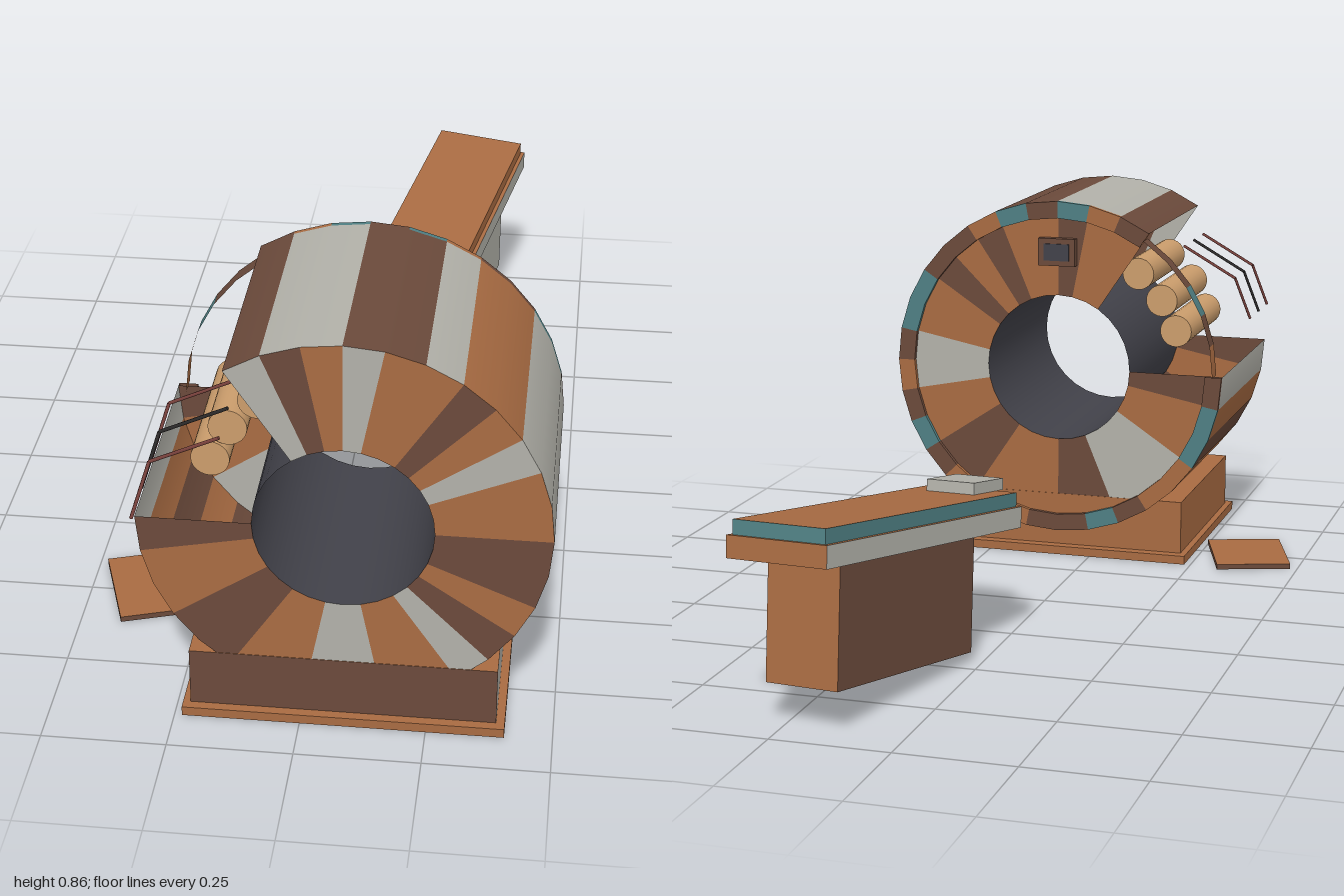
import * as THREE from 'three';

const mat = (name, color) => {
  const m = new THREE.MeshStandardMaterial({ color, side: THREE.DoubleSide });
  m.name = name;
  return m;
};

export function createModel() {
  const M = {
    O: mat('rust orange', 0xa86b42),
    D: mat('dark brown', 0x6b4a3b),
    G: mat('pale grey', 0xb2b1a9),
    T: mat('teal', 0x4f7f83),
    C: mat('charcoal', 0x42424a),
    W: mat('coil tan', 0xcb9d6c),
    R: mat('dark red', 0x7a423d),
    K: mat('black', 0x2c2a2a),
  };
  const model = new THREE.Group();

  // box whose faces are coloured in the order +x -x +y -y +z -z
  const box = (parent, name, size, pos, cols) => {
    const m = cols.length === 1 ? M[cols] : [...cols].map((c) => M[c]);
    const mesh = new THREE.Mesh(new THREE.BoxGeometry(...size), m);
    mesh.name = name;
    mesh.position.set(...pos);
    parent.add(mesh);
    return mesh;
  };

  // scanner drum: 32 steps round, five of them left open on one side
  const scanner = new THREE.Group();
  scanner.name = 'scanner';
  scanner.position.set(0.085, 0.455, 0);
  model.add(scanner);
  const STEP = Math.PI / 16, START = 11 * STEP;
  const FRONT = 0.885, BACK = 0.397, OUT = 0.4, BORE = 0.175;

  // patchwork surface from (r0,z0) to (r1,z1), one colour letter per step
  const patchRing = (name, cols, r0, z0, r1, z1, first = 0, inward = 1) => {
    const group = new THREE.Group();
    group.name = name;
    for (const key of new Set(cols)) {
      const pos = [], nor = [];
      [...cols].forEach((c, i) => {
        if (c !== key) return;
        const a = START - (first + i) * STEP, b = a - STEP;
        const quad = [[a, r0, z0], [b, r0, z0], [b, r1, z1], [a, r1, z1]];
        for (const k of [0, 1, 2, 0, 2, 3]) {
          const [t, r, z] = quad[k];
          pos.push(r * Math.cos(t), r * Math.sin(t), z);
          if (z0 === z1) nor.push(0, 0, r1 > r0 ? 1 : -1);
          else nor.push(inward * Math.cos(t), inward * Math.sin(t), 0);
        }
      });
      const g = new THREE.BufferGeometry();
      g.setAttribute('position', new THREE.Float32BufferAttribute(pos, 3));
      g.setAttribute('normal', new THREE.Float32BufferAttribute(nor, 3));
      const mesh = new THREE.Mesh(g, M[key]);
      mesh.name = name + ' ' + M[key].name;
      group.add(mesh);
    }
    scanner.add(group);
  };
  patchRing('front cover', 'GDOGOODOGOODDODGOOGGOODDOOD', BORE, FRONT, OUT, FRONT);
  patchRing('outer shell', 'DGGDDGOOGGGODODOOOOOOODODOG', OUT, FRONT, OUT, BACK);
  patchRing('back cover', 'OODOODODOOGGOODDOOODDGGGOOD', OUT, BACK, BORE, BACK);

  // back rim, with its loose stretch bridging the opening
  const rim = 'DOTDTODDTTDODTDODODDTDOOTTD';
  patchRing('rim face', rim, OUT, 0.386, 0.36, 0.386);
  patchRing('rim edge', rim, OUT, BACK, OUT, 0.386);
  patchRing('rim inner edge', rim, 0.36, 0.386, 0.36, BACK, 0, -1);
  patchRing('rim bridge', 'ODTDD', 0.38, 0.42, 0.38, 0.376, 27);

  // bore tube
  const bore = new THREE.Mesh(
    new THREE.CylinderGeometry(BORE, BORE, FRONT - BACK, 32, 1, true), M.C);
  bore.name = 'bore';
  bore.rotation.x = Math.PI / 2;
  bore.position.z = (FRONT + BACK) / 2;
  scanner.add(bore);

  // exposed coils inside the opening
  for (const deg of [162, 145.5, 128]) {
    const t = THREE.MathUtils.degToRad(deg);
    const coil = new THREE.Mesh(new THREE.CylinderGeometry(0.038, 0.038, 0.315, 24), M.W);
    coil.name = 'coil';
    coil.rotation.x = Math.PI / 2;
    coil.position.set(0.279 * Math.cos(t), 0.279 * Math.sin(t), 0.643);
    scanner.add(coil);
  }

  // control panel on the back
  box(scanner, 'control panel', [0.09, 0.065, 0.02], [0, 0.28, 0.388], 'D');
  box(scanner, 'panel screen', [0.062, 0.04, 0.004], [0, 0.28, 0.377], 'C');

  // loose bent wires floating by the opening
  ['R', 'K', 'R'].forEach((c, i) => {
    const p = [[-0.13, 0.702, 0.978], [-0.265, 0.63, 0.96], [-0.297, 0.525, 0.995]]
      .map(([x, y, z]) => new THREE.Vector3(x, y, z - 0.104 * i));
    for (let k = 0; k < 2; k++) {
      const wire = new THREE.Mesh(
        new THREE.TubeGeometry(new THREE.LineCurve3(p[k], p[k + 1]), 1, 0.0035, 6), M[c]);
      wire.name = 'loose wire';
      model.add(wire);
    }
  });

  // base and plinth
  box(model, 'base', [0.608, 0.126, 0.49], [0.084, 0.082, 0.641], 'GOOODO');
  box(model, 'plinth', [0.64, 0.02, 0.535], [0.085, 0.01, 0.638], 'O');

  // fallen panel on the floor
  box(model, 'fallen panel', [0.174, 0.012, 0.217], [-0.367, 0.006, 0.485], 'DDOODD')
    .rotation.y = 0.32;

  // tilted patient table
  const table = new THREE.Group();
  table.name = 'patient table';
  table.position.set(0.155, 0.37, -0.615);
  table.rotation.set(0.135, -0.204, -0.04, 'YXZ');
  model.add(table);
  box(table, 'table top', [0.21, 0.03, 0.735], [0, -0.015, 0], 'OTOOOT');
  box(table, 'table tray', [0.228, 0.045, 0.75], [0, -0.0525, 0], 'GGOGOO');
  box(table, 'table pedestal', [0.165, 0.25, 0.51], [0, -0.2, -0.025], 'GDGGGO');
  box(table, 'head pad', [0.115, 0.025, 0.125], [0, 0.0125, 0.33], 'G');

  return model;
}
